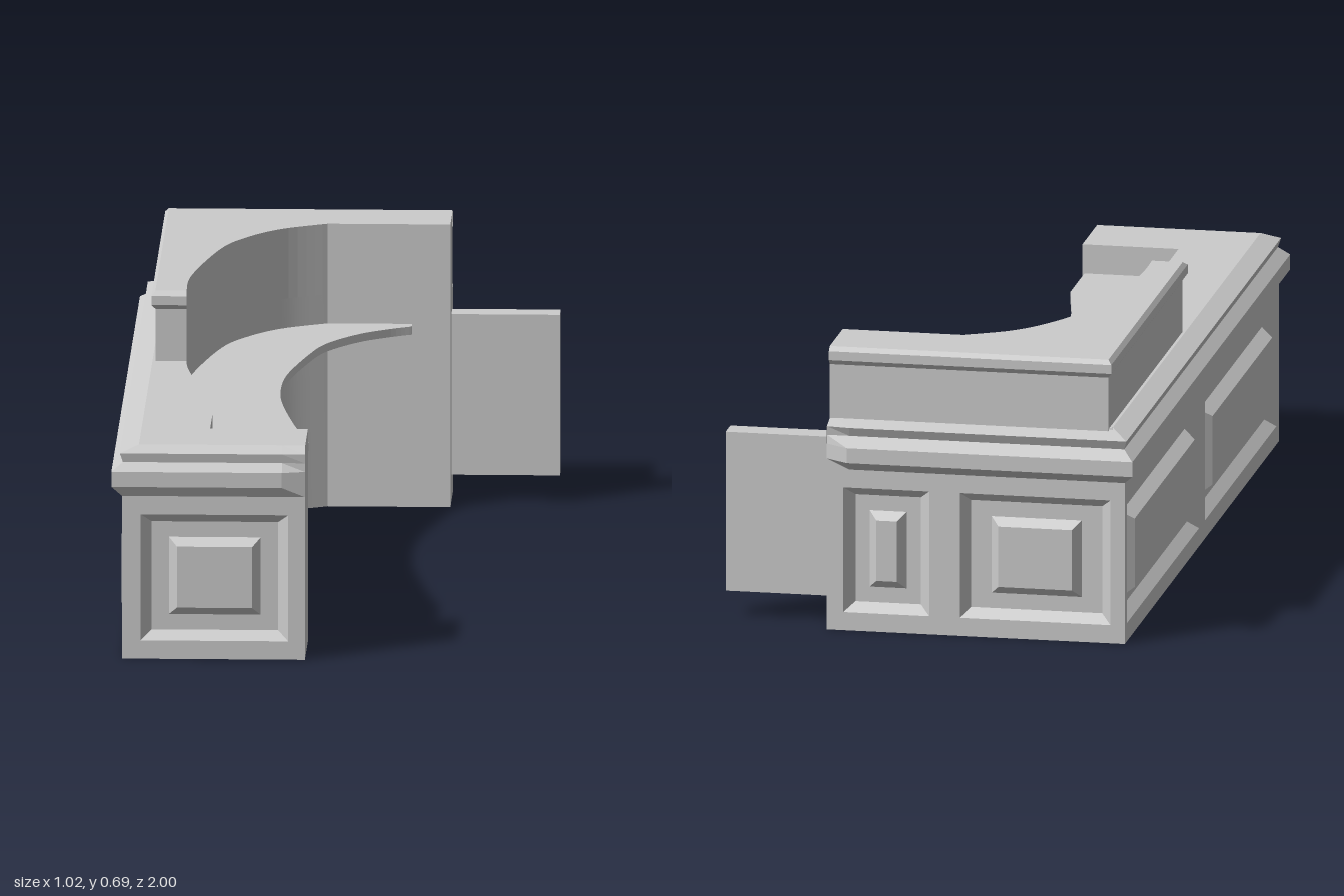
import * as THREE from 'three';

const mat = new THREE.MeshStandardMaterial({ color: 0xcccccc, side: THREE.DoubleSide });
const flat = new THREE.MeshStandardMaterial({ color: 0xcccccc, side: THREE.DoubleSide, flatShading: true });

// Main limits of the counter body
const LEFT = -0.485, FRONT = 0.985, BACK = -0.965, BLOCK_X = -0.045, END_X = 0.245, INNER_Z = -0.765;
const TOP = 0.522, RAISED = 0.695;

function add(group, name, geometry, material = mat) {
  const mesh = new THREE.Mesh(geometry, material);
  mesh.name = name;
  group.add(mesh);
  return mesh;
}

// Smooth plan curve through [x, z] points
function planCurve(points, n = 48) {
  return new THREE.SplineCurve(points.map(p => new THREE.Vector2(...p))).getPoints(n).map(p => [p.x, p.y]);
}

function planShape(points) {
  return new THREE.Shape(points.map(p => new THREE.Vector2(...p)));
}

// Horizontal slab from an [x, z] outline
function slab(points, y0, y1) {
  const g = new THREE.ExtrudeGeometry(planShape(points), { depth: y1 - y0, bevelEnabled: false });
  return g.rotateX(Math.PI / 2).translate(0, y1, 0);
}

// Surface through equally long columns of points
function gridSurface(columns) {
  const n = columns[0].length, index = [];
  for (let i = 0; i < columns.length - 1; i++) {
    for (let j = 0; j < n - 1; j++) {
      const a = i * n + j, b = a + n;
      index.push(a, b, a + 1, b, b + 1, a + 1);
    }
  }
  const g = new THREE.BufferGeometry();
  g.setAttribute('position', new THREE.Float32BufferAttribute(columns.flat(2), 3));
  g.setIndex(index);
  g.computeVertexNormals();
  return g;
}

// Vertical wall along an open [x, z] path, facing the path's left side
function wall(points, y0, y1) {
  return gridSurface(points.map(([x, z]) => [[x, y0, z], [x, y1, z]]));
}

// Moulding along front, left and back; profile is [outward offset, height]
function moulding(profile, s) {
  const t = s.taper;
  const stations = [
    [s.frontEnd, s.front, 0, s.kFront, t > 0],
    [s.frontEnd - t, s.front, 0, s.kFront, false],
    [s.left, s.front, -1, s.kFront, false],
    [s.left, s.back, -1, -s.kBack, false],
    [s.backEnd - t, s.back, 0, -s.kBack, false],
    [s.backEnd, s.back, 0, -s.kBack, t > 0],
  ];
  const columns = stations.map(([x, z, ox, oz, clipped]) => profile.map(([offset, y]) => {
    const o = clipped ? Math.min(offset, 0) : offset;
    return [x + o * ox, y, z + o * oz];
  }));
  // reversed so that the surface faces outward
  return gridSurface(columns.reverse()).toNonIndexed();
}

const rect = (x0, y0, x1, y1) => [[x0, y0], [x1, y0], [x1, y1], [x0, y1]];

// Recessed field with a raised, bevelled centre
function panelGeometry(u0, u1, mx, my, rise) {
  const y0 = 0.045, y1 = 0.355, d = 0.025;
  const rings = [[0, 0, 0], [0.025, 0.022, -d], [mx, my, -d], [mx + 0.02, my + 0.02, rise]];
  const pos = [];
  const corners = rings.map(([a, b, z]) => rect(u0 + a, y0 + b, u1 - a, y1 - b).map(p => [...p, z]));
  const quad = (a, b, c, e) => pos.push(...a, ...b, ...c, ...a, ...c, ...e);
  for (let r = 0; r < rings.length - 1; r++) {
    for (let i = 0; i < 4; i++) {
      const k = (i + 1) % 4;
      quad(corners[r][i], corners[r][k], corners[r + 1][k], corners[r + 1][i]);
    }
  }
  quad(...corners[3]);
  const g = new THREE.BufferGeometry();
  g.setAttribute('position', new THREE.Float32BufferAttribute(pos, 3));
  g.computeVertexNormals();
  return g;
}

// Panelled face: a plate with openings, each filled by a panel
function panelledFace(name, u0, u1, panels) {
  const group = new THREE.Group();
  group.name = name;
  const plate = planShape(rect(u0, 0, u1, 0.402));
  for (const [a, b, mx, my, rise] of panels) {
    plate.holes.push(new THREE.Path(rect(a, 0.045, b, 0.355).map(p => new THREE.Vector2(...p))));
    add(group, 'panel', panelGeometry(a, b, mx, my, rise), flat);
  }
  add(group, 'frame', new THREE.ShapeGeometry(plate));
  return group;
}

export function createModel() {
  const model = new THREE.Group();
  model.name = 'receptionCounter';

  // Curved inner wall, front to back
  const inner = planCurve([
    [-0.28, 0.6], [-0.30, 0.43], [-0.35, 0.14], [-0.363, 0], [-0.355, -0.18], [-0.296, -0.475],
    [-0.238, -0.605], [-0.16, -0.70], [-0.05, INNER_Z],
  ]);
  const innerPath = [[-0.28, 0.775], ...inner];
  add(model, 'innerWall', wall(innerPath, 0, TOP));
  add(model, 'frontBlockBack', wall([[BLOCK_X, 0.775], [-0.28, 0.775]], 0, TOP));
  add(model, 'frontBlockSide', wall([[BLOCK_X, 0.97], [BLOCK_X, 0.775]], 0, TOP));
  add(model, 'frontBlockEdge', wall([[BLOCK_X, FRONT], [BLOCK_X, 0.97]], 0, 0.505));
  add(model, 'backInnerWall', wall([[-0.05, INNER_Z], [END_X, INNER_Z]], 0, TOP));
  add(model, 'backEnd', wall([[END_X, INNER_Z], [END_X, BACK]], 0, 0.505));

  // Underside and lower counter top
  const outline = (l, f, b) => [[l, f], [BLOCK_X, f], [BLOCK_X, 0.775], ...innerPath, [END_X, INNER_Z], [END_X, b], [l, b]];
  add(model, 'underside', new THREE.ShapeGeometry(planShape(outline(LEFT, FRONT, BACK))).rotateX(Math.PI / 2));
  add(model, 'counterTop', slab(outline(-0.445, 0.961, -0.92), 0.5, TOP));

  // Raised rear section
  const rearCurve = inner.filter(p => p[1] < 0.01);
  add(model, 'raisedSection', slab(
    [[-0.438, 0.01], [-0.363, 0.01], ...rearCurve, [END_X, INNER_Z], [END_X, -0.928], [-0.438, -0.928]], 0.505, RAISED));
  add(model, 'raisedLip', moulding(
    [[0, 0.65], [0.009, 0.663], [0.009, 0.685], [0, RAISED]],
    { left: -0.438, front: 0.01, back: -0.928, kFront: 2, kBack: 1.4, frontEnd: -0.363, backEnd: END_X, taper: 0 }), flat);

  // Main moulding below the counter top
  add(model, 'mainMoulding', moulding(
    [[0, 0.40], [0.025, 0.425], [0.025, 0.462], [-0.002, 0.483], [0.005, 0.505], [-0.04, TOP]],
    { left: LEFT, front: FRONT, back: BACK, kFront: 0.6, kBack: 1.4, frontEnd: BLOCK_X, backEnd: END_X, taper: 0.055 }), flat);

  // Panelled outer faces
  const front = panelledFace('frontFace', LEFT, BLOCK_X, [[-0.44, -0.085, 0.067, 0.06, -0.005]]);
  front.position.z = FRONT;
  const left = panelledFace('rightFace', BACK, FRONT, [
    [-0.935, -0.025, 0.055, 0.05, 0.004], [0.05, 0.955, 0.055, 0.05, 0.004]]);
  left.rotation.y = -Math.PI / 2;
  left.position.x = LEFT;
  const back = panelledFace('backFace', -END_X, -LEFT, [
    [-0.205, 0.005, 0.06, 0.06, -0.005], [0.08, 0.45, 0.075, 0.06, -0.005]]);
  back.rotation.y = Math.PI;
  back.position.z = BACK;
  model.add(front, left, back);

  // Curved desk shelf
  const shelfEdge = planCurve([
    [-0.05, 0.595], [-0.09, 0.4], [-0.127, 0.16], [-0.137, 0], [-0.127, -0.18], [-0.08, -0.42],
    [-0.042, -0.54], [0.03, -0.645], [0.10, -0.703], [0.153, -0.735],
  ]);
  add(model, 'deskShelf', slab(
    [[-0.05, 0.775], ...shelfEdge, [0.153, INNER_Z], ...innerPath.slice().reverse()], 0.43, 0.45));

  // Side gate at the back end
  add(model, 'gate', new THREE.BoxGeometry(0.262, 0.395, 0.06).translate(0.375, 0.2625, -0.864));

  return model;
}
